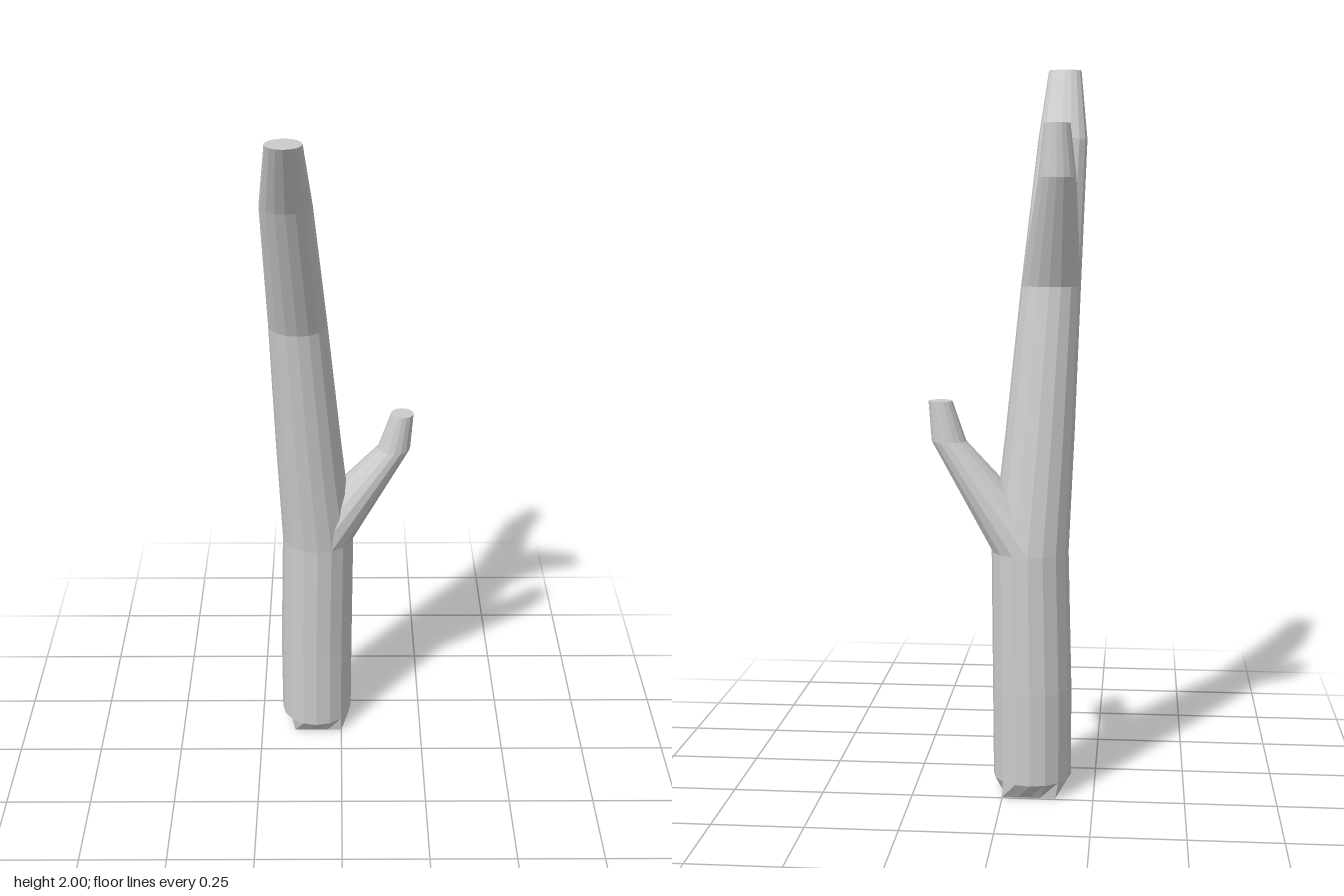
import * as THREE from 'three';

const SIDES = 16;
const material = new THREE.MeshStandardMaterial({ color: 0xcccccc, flatShading: true });

// Skins a stack of level rings [y, x, z, radius, square?], with optional flat ends
function limb(name, rings, capBottom, capTop) {
  const pos = [], index = [];
  for (const [y, x, z, r, square] of rings) {
    for (let i = 0; i < SIDES; i++) {
      const a = (i / SIDES) * Math.PI * 2, c = Math.cos(a), s = Math.sin(a);
      const k = square ? r / Math.max(Math.abs(c), Math.abs(s)) : r;
      pos.push(x + k * c, y, z + k * s);
    }
  }
  for (let j = 0; j < rings.length - 1; j++) {
    for (let i = 0; i < SIDES; i++) {
      const a = j * SIDES + i, b = j * SIDES + (i + 1) % SIDES;
      index.push(a, a + SIDES, b, b, a + SIDES, b + SIDES);
    }
  }
  const top = (rings.length - 1) * SIDES;
  for (let i = 1; i < SIDES - 1; i++) {
    if (capBottom) index.push(0, i, i + 1);
    if (capTop) index.push(top, top + i + 1, top + i);
  }
  const geometry = new THREE.BufferGeometry();
  geometry.setAttribute('position', new THREE.Float32BufferAttribute(pos, 3));
  geometry.setIndex(index);
  const flat = geometry.toNonIndexed();
  flat.computeVertexNormals();
  const mesh = new THREE.Mesh(flat, material);
  mesh.name = name;
  return mesh;
}

export function createModel() {
  const model = new THREE.Group();
  model.name = 'branchingTrunk';

  // Rings shared by the trunk and the branches that grow from it
  const lowFork = [0.68, -0.07, -0.162, 0.106];
  const highFork = [1.4, -0.12, -0.078, 0.082];

  // Trunk with a squared, bevelled foot
  model.add(limb('trunk', [
    [0, -0.073, -0.17, 0.073, true],
    [0.045, -0.078, -0.169, 0.108],
    [0.3, -0.077, -0.17, 0.109],
    lowFork,
    [1.0, -0.094, -0.124, 0.095],
    highFork,
  ], true, false));

  // Low branch to the left
  model.add(limb('sideBranch', [
    lowFork,
    [0.98, 0.153, -0.157, 0.048],
    [1.09, 0.176, -0.157, 0.033],
  ], false, true));

  // Tall branch leaning forward
  model.add(limb('frontBranch', [
    highFork,
    [1.8, -0.142, 0.097, 0.069],
    [2, -0.141, 0.234, 0.047],
  ], false, true));

  // Shorter branch leaning back
  model.add(limb('backBranch', [
    highFork,
    [1.69, -0.144, -0.219, 0.05],
    [1.83, -0.143, -0.227, 0.035],
  ], false, true));

  return model;
}
